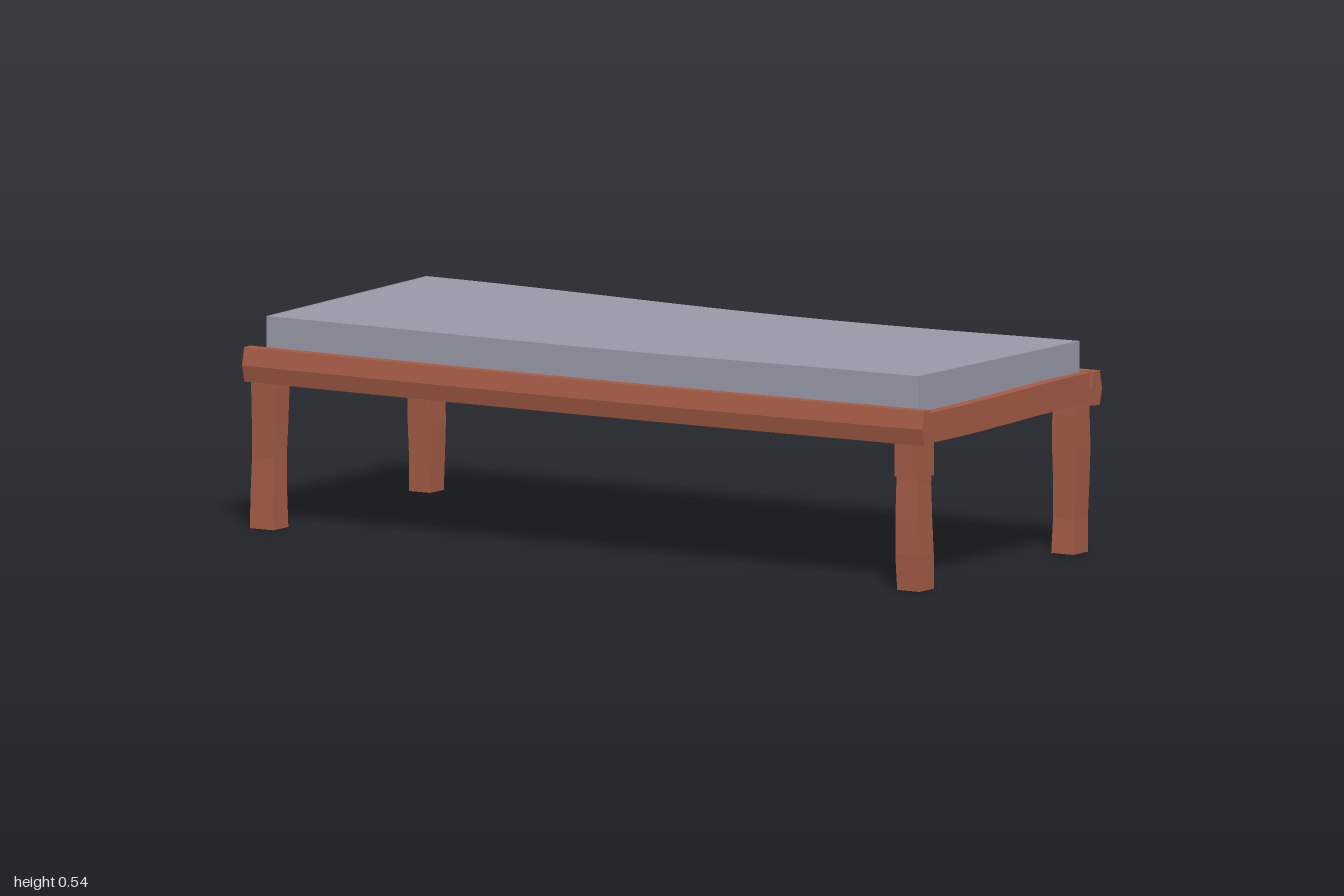
import * as THREE from 'three';

// Box spanning two corners, with its vertices moved by an optional rule
function block(name, min, max, material, seg = [1, 1, 1], rule) {
  const size = max.map((v, i) => v - min[i]);
  const geo = new THREE.BoxGeometry(...size, ...seg);
  geo.translate(...min.map((v, i) => (v + max[i]) / 2));
  if (rule) {
    const p = geo.attributes.position;
    const v = new THREE.Vector3();
    for (let i = 0; i < p.count; i++) {
      v.fromBufferAttribute(p, i);
      rule(v);
      p.setXYZ(i, v.x, v.y, v.z);
    }
    geo.computeVertexNormals();
  }
  const mesh = new THREE.Mesh(geo, material);
  mesh.name = name;
  return mesh;
}

export function createModel() {
  const group = new THREE.Group();
  group.name = 'cot';
  const wood = new THREE.MeshStandardMaterial({ color: 0xa25a44, flatShading: true });
  wood.name = 'reddish wood';
  const fabric = new THREE.MeshStandardMaterial({ color: 0x9798a6 });
  fabric.name = 'grey fabric';

  // Mattress: sagging in the middle, slightly skewed outline
  group.add(block('mattress', [-0.96, 0.43, -0.37], [0.96, 0.53, 0.37], fabric, [16, 1, 8], (v) => {
    if (v.y > 0.5) {
      const sag = Math.cos((v.x - 0.12) * 2.9);
      v.y += -0.004 * sag + 0.003 * (v.z / 0.37) * Math.sin(v.x * 2 + 0.6);
    }
    if (v.z > 0) v.z -= (v.z / 0.37) * (0.006 + 0.006 * Math.sin(v.x * 1.8 + 0.6));
    if (v.x > 0) v.x -= 0.006 * (v.z / 0.37) * (v.x / 0.96);
  }));

  // Long side rails with a faceted, bulging section
  for (const s of [1, -1]) {
    const section = new THREE.Shape();
    [[0.375, 0.37], [0.405, 0.368], [0.416, 0.41], [0.406, 0.455], [0.376, 0.455], [0.371, 0.412]]
      .forEach(([z, y], i) => (i ? section.lineTo(-s * z, y) : section.moveTo(-s * z, y)));
    section.closePath();
    const geo = new THREE.ExtrudeGeometry(section, { depth: 2, steps: 8, bevelEnabled: false });
    geo.rotateY(Math.PI / 2);
    geo.translate(-1, 0, 0);
    const p = geo.attributes.position;
    for (let i = 0; i < p.count; i++) {
      const x = p.getX(i);
      p.setY(i, p.getY(i) - 0.003 * Math.cos(x * 1.6));
      p.setZ(i, p.getZ(i) - 0.004 * x);
    }
    geo.computeVertexNormals();
    const rail = new THREE.Mesh(geo, wood);
    rail.name = s > 0 ? 'frontRail' : 'backRail';
    group.add(rail);
  }

  // Short end rails, gently wavy
  for (const s of [1, -1]) {
    const x = s * 0.976;
    group.add(block(s > 0 ? 'leftEndRail' : 'rightEndRail',
      [x - 0.015, 0.373, -0.39], [x + 0.015, 0.449, 0.39], wood, [1, 2, 6], (v) => {
        v.y += -0.004 * Math.sin(v.z * 5.5);
        v.x += s * 0.003 * Math.cos(v.z * 5);
      }));
  }

  // Cross slats and the lengthwise beam under the mattress
  [-0.63, -0.36, -0.11, 0.13, 0.37, 0.65].forEach((x) => {
    group.add(block('slat', [x - 0.035, 0.403, -0.385], [x + 0.035, 0.431, 0.38], wood));
  });
  group.add(block('centreBeam', [-0.97, 0.4, -0.038], [0.97, 0.429, 0.038], wood));

  // Four rough-hewn legs, each with its own bends
  const legs = [
    ['frontLeftLeg', 0.948, 0.366, 0],
    ['frontRightLeg', -0.952, 0.366, 1.7],
    ['backLeftLeg', 0.948, -0.356, 3.1],
    ['backRightLeg', -0.952, -0.356, 4.4],
  ];
  for (const [name, cx, cz, phase] of legs) {
    group.add(block(name, [cx - 0.033, 0, cz - 0.033], [cx + 0.033, 0.44, cz + 0.033], wood, [1, 5, 1], (v) => {
      const bend = Math.sin(v.y * 13 + phase);
      const swell = 1 + 0.05 * Math.sin(v.y * 17 + phase);
      v.x = cx + (v.x - cx) * swell + 0.003 * Math.cos(v.y * 10 + phase);
      v.z = cz + (v.z - cz) * swell + 0.003 * bend;
    }));
    // Worn step near the top of the leg
    if (name === 'frontLeftLeg' || name === 'backRightLeg') {
      group.add(block('legCollar', [cx - 0.036, 0.285, cz - 0.035], [cx + 0.036, 0.4, cz + 0.035], wood));
    }
  }
  return group;
}
